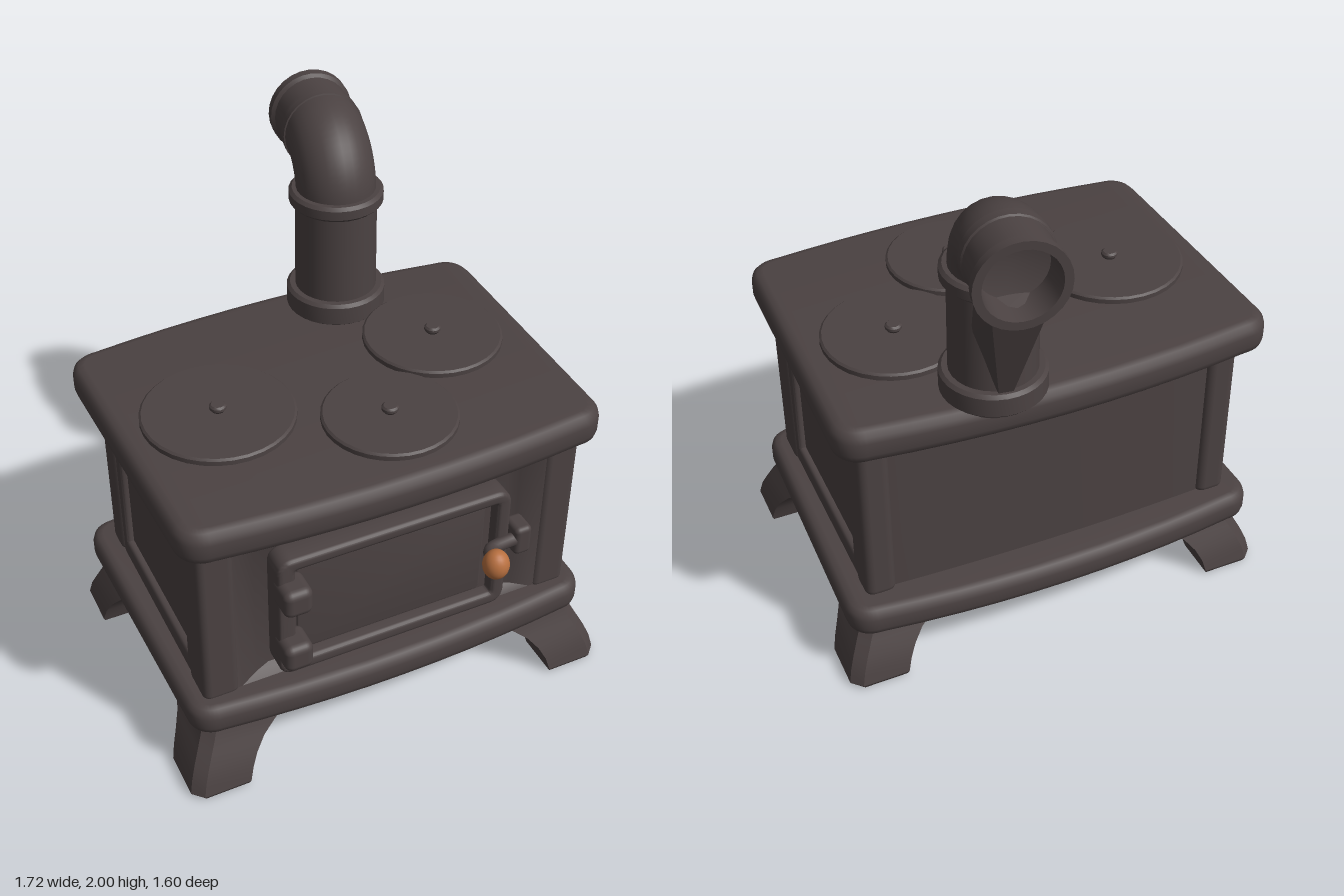
import * as THREE from 'three';
import { toCreasedNormals } from 'three/addons/utils/BufferGeometryUtils.js';
import { RoundedBoxGeometry } from 'three/addons/geometries/RoundedBoxGeometry.js';
import { ConvexGeometry } from 'three/addons/geometries/ConvexGeometry.js';

const V = (x, y, z) => new THREE.Vector3(x, y, z);

// Plan outline of the stove with bowed front and back; shape y is -z.
function planShape(wFront, wBack, front, back, r, bowF, bowB) {
  const s = new THREE.Shape();
  s.moveTo(-wFront + r, -front);
  s.quadraticCurveTo(0, -front - 2 * bowF, wFront - r, -front);
  s.quadraticCurveTo(wFront, -front, wFront, -front + r);
  s.lineTo(wBack, back - r);
  s.quadraticCurveTo(wBack, back, wBack - r, back);
  s.quadraticCurveTo(0, back + 2 * bowB, -wBack + r, back);
  s.quadraticCurveTo(-wBack, back, -wBack, back - r);
  s.lineTo(-wFront, -front + r);
  s.quadraticCurveTo(-wFront, -front, -wFront + r, -front);
  return s;
}

// Extrusion of total height h with rounded edges, starting at z = 0.
function extrude(shape, h, b) {
  const g = new THREE.ExtrudeGeometry(shape, {
    depth: h - 2 * b, bevelEnabled: b > 0, bevelSize: b, bevelThickness: b, bevelSegments: 3, curveSegments: 10,
  });
  g.translate(0, 0, b);
  return toCreasedNormals(g, 0.6);
}

function roundRect(S, x0, y0, x1, y1, r) {
  const s = new S();
  s.moveTo(x0 + r, y0);
  s.lineTo(x1 - r, y0); s.quadraticCurveTo(x1, y0, x1, y0 + r);
  s.lineTo(x1, y1 - r); s.quadraticCurveTo(x1, y1, x1 - r, y1);
  s.lineTo(x0 + r, y1); s.quadraticCurveTo(x0, y1, x0, y1 - r);
  s.lineTo(x0, y0 + r); s.quadraticCurveTo(x0, y0, x0 + r, y0);
  return s;
}

// Rectangular frame with a rounded opening, in the xy plane.
function frameGeometry(outer, inner, r, depth, b) {
  const s = roundRect(THREE.Shape, ...outer, r);
  s.holes.push(roundRect(THREE.Path, ...inner, r * 0.6));
  return extrude(s, depth, b);
}

// Surface through equal-length rings, with optional caps; flip reverses it.
function loft(rings, capStart, capEnd, flip, crease = 0.6) {
  const n = rings[0].length, pos = [], idx = [];
  rings.forEach(r => r.forEach(p => pos.push(...p)));
  const tri = (a, b, c) => (flip ? idx.push(a, c, b) : idx.push(a, b, c));
  for (let k = 0; k < rings.length - 1; k++)
    for (let i = 0; i < n; i++) {
      const a = k * n + i, b = k * n + (i + 1) % n;
      tri(a, b, b + n); tri(a, b + n, a + n);
    }
  const last = (rings.length - 1) * n;
  for (let i = 1; i < n - 1; i++) {
    if (capStart) tri(0, i + 1, i);
    if (capEnd) tri(last, last + i, last + i + 1);
  }
  const g = new THREE.BufferGeometry();
  g.setAttribute('position', new THREE.Float32BufferAttribute(pos, 3));
  g.setIndex(idx);
  return toCreasedNormals(g, crease);
}

const lathe = (pts, seg = 32) =>
  toCreasedNormals(new THREE.LatheGeometry(pts.map(p => new THREE.Vector2(...p)), seg), 0.6);

export function createModel() {
  const root = new THREE.Group();
  root.name = 'stove';
  const iron = new THREE.MeshStandardMaterial({ color: 0x4b4242 });
  iron.name = 'cast iron';
  const wood = new THREE.MeshStandardMaterial({ color: 0xb87040 });
  wood.name = 'orange wood';
  const add = (name, geo, x = 0, y = 0, z = 0, parent = root, mat = iron) => {
    const m = new THREE.Mesh(geo, mat);
    m.name = name;
    m.position.set(x, y, z);
    parent.add(m);
    return m;
  };

  // Top and base slabs
  const slab = (name, y, h, b) => {
    const s = planShape(0.815 - b, 0.835 - b, 0.66 - b, 0.5 - b, 0.07, 0.04, 0.05);
    add(name, extrude(s, h, b).rotateX(-Math.PI / 2), 0, y, 0);
  };
  slab('topSlab', 1.06, 0.14, 0.045);
  slab('baseSlab', 0.235, 0.125, 0.04);

  // Firebox with a gently bowed back
  add('firebox', extrude(planShape(0.715, 0.715, 0.5, 0.385, 0.02, 0, 0.02), 0.74, 0).rotateX(-Math.PI / 2), 0, 0.34, 0);

  // Corner posts and side panel frames
  for (const s of [-1, 1]) {
    add('frontPost', new RoundedBoxGeometry(0.14, 0.74, 0.16, 3, 0.03), s * 0.68, 0.71, 0.51);
    add('backPost', new RoundedBoxGeometry(0.12, 0.74, 0.13, 3, 0.035), s * 0.69, 0.71, -0.345);
    const g = frameGeometry([-0.36, 0.34, 0.36, 1.08], [-0.335, 0.42, 0.335, 0.98], 0.03, 0.04, 0.015);
    add('sidePanelFrame', g.rotateY(s * Math.PI / 2), s * 0.702, 0, 0.08);
  }

  // Front recess sloping in to the door
  const ring = (x, y0, y1, z) => [[-x, y0, z], [x, y0, z], [x, y1, z], [-x, y1, z]];
  add('frontRecess', loft([
    ring(0.63, 0.35, 1.07, 0.582), ring(0.6, 0.36, 1.04, 0.578),
    ring(0.53, 0.38, 0.98, 0.55), ring(0.48, 0.39, 0.95, 0.535),
  ], false, true, false, 0.9));

  // Oven door
  const door = new THREE.Group();
  door.name = 'door';
  root.add(door);
  add('doorFrame', frameGeometry([-0.46, 0.42, 0.43, 0.935], [-0.425, 0.445, 0.405, 0.915], 0.045, 0.11, 0.016), 0, 0, 0.53, door);
  add('doorPanel', new THREE.BoxGeometry(0.84, 0.5, 0.06), -0.01, 0.68, 0.56, door);
  add('doorInnerPlate', extrude(roundRect(THREE.Shape, -0.385, 0.475, 0.355, 0.885, 0.02), 0.014, 0.004), 0, 0, 0.585, door);
  for (const y of [0.54, 0.805])
    add('hinge', new RoundedBoxGeometry(0.11, 0.115, 0.13, 3, 0.03), -0.425, y, 0.645, door);
  add('latchBracket', new RoundedBoxGeometry(0.07, 0.125, 0.1, 3, 0.02), 0.49, 0.713, 0.625, door);
  const handle = new THREE.CatmullRomCurve3([V(0.5, 0.715, 0.645), V(0.42, 0.718, 0.65), V(0.35, 0.725, 0.67), V(0.325, 0.733, 0.73)]);
  add('latchHandle', new THREE.TubeGeometry(handle, 12, 0.026, 10), 0, 0, 0, door);
  add('doorKnob', new THREE.SphereGeometry(0.05, 20, 14).scale(1, 1.2, 1), 0.325, 0.733, 0.75, door, wood);

  // Cooking lids with lifting knobs
  for (const [x, z, r] of [[-0.455, 0.085, 0.28], [0.46, -0.02, 0.265], [0.09, 0.35, 0.247]]) {
    add('lid', lathe([[r, 0], [r, 0.02], [r - 0.008, 0.027], [0, 0.027]]), x, 1.198, z);
    add('lidKnob', lathe([[0.022, 0], [0.031, 0.012], [0.031, 0.022], [0.024, 0.029], [0, 0.029]], 16), x, 1.223, z);
  }

  // Stovepipe: riser, collars, elbow, open sleeve and brace
  const pipe = new THREE.Group();
  pipe.name = 'stovepipe';
  pipe.position.set(0.245, 0, -0.415);
  pipe.rotation.y = -0.155;
  root.add(pipe);
  const collar = (name, y, h, r) =>
    add(name, lathe([[0.1, 0], [r - 0.012, 0], [r, 0.012], [r, h - 0.012], [r - 0.012, h], [0.1, h]]), 0, y, 0, pipe);
  add('riser', new THREE.CylinderGeometry(0.154, 0.158, 0.5, 28, 1, true), 0, 1.42, 0, pipe);
  collar('baseCollar', 1.19, 0.095, 0.19);
  collar('upperCollar', 1.64, 0.06, 0.178);
  const path = [V(0, 1.62, 0)];
  for (let i = 0; i <= 6; i++) {
    const a = i / 6 * Math.PI / 2;
    path.push(V(0, 1.67 + 0.17 * Math.sin(a), -0.17 + 0.17 * Math.cos(a)));
  }
  path.push(V(0, 1.84, -0.22));
  add('elbow', new THREE.TubeGeometry(new THREE.CatmullRomCurve3(path), 24, 0.15, 28), 0, 0, 0, pipe);
  const sleeve = lathe([
    [0.14, 0.16], [0.155, 0.165], [0.155, 0.2], [0.147, 0.21], [0.147, 0.32], [0.16, 0.33],
    [0.16, 0.365], [0.13, 0.365], [0.12, 0.25], [0, 0.22],
  ], 28);
  add('sleeve', sleeve.rotateX(-Math.PI / 2), 0, 1.84, 0, pipe);
  const brace = [];
  for (const s of [-1, 1])
    brace.push(V(s * 0.09, 1.705, -0.33), V(s * 0.11, 1.75, -0.2), V(s * 0.1, 1.5, -0.1), V(s * 0.025, 1.28, -0.165), V(s * 0.03, 1.28, -0.12));
  add('brace', new ConvexGeometry(brace), 0, 0, 0, pipe);

  // Splayed feet: [y, outer edge, inner edge, inner corner cut]
  const sections = [
    [0, 0.855, 0.645, 0.04], [0.015, 0.862, 0.64, 0.04], [0.07, 0.85, 0.625, 0.05], [0.12, 0.83, 0.6, 0.06],
    [0.17, 0.805, 0.56, 0.09], [0.21, 0.785, 0.51, 0.13], [0.25, 0.77, 0.46, 0.17],
  ];
  for (const sx of [-1, 1])
    for (const sz of [-1, 1]) {
      const off = sz > 0 ? 0.135 : 0.35, c = 0.04;
      const rings = sections.map(([y, o, i, k]) =>
        [[o - c, o], [o, o - c], [o, i], [i + k, i], [i, i + k], [i, o]].map(([x, z]) => [sx * x, y, sz * (z - off)]));
      add('leg', loft(rings, true, true, sx * sz < 0));
    }
  return root;
}
